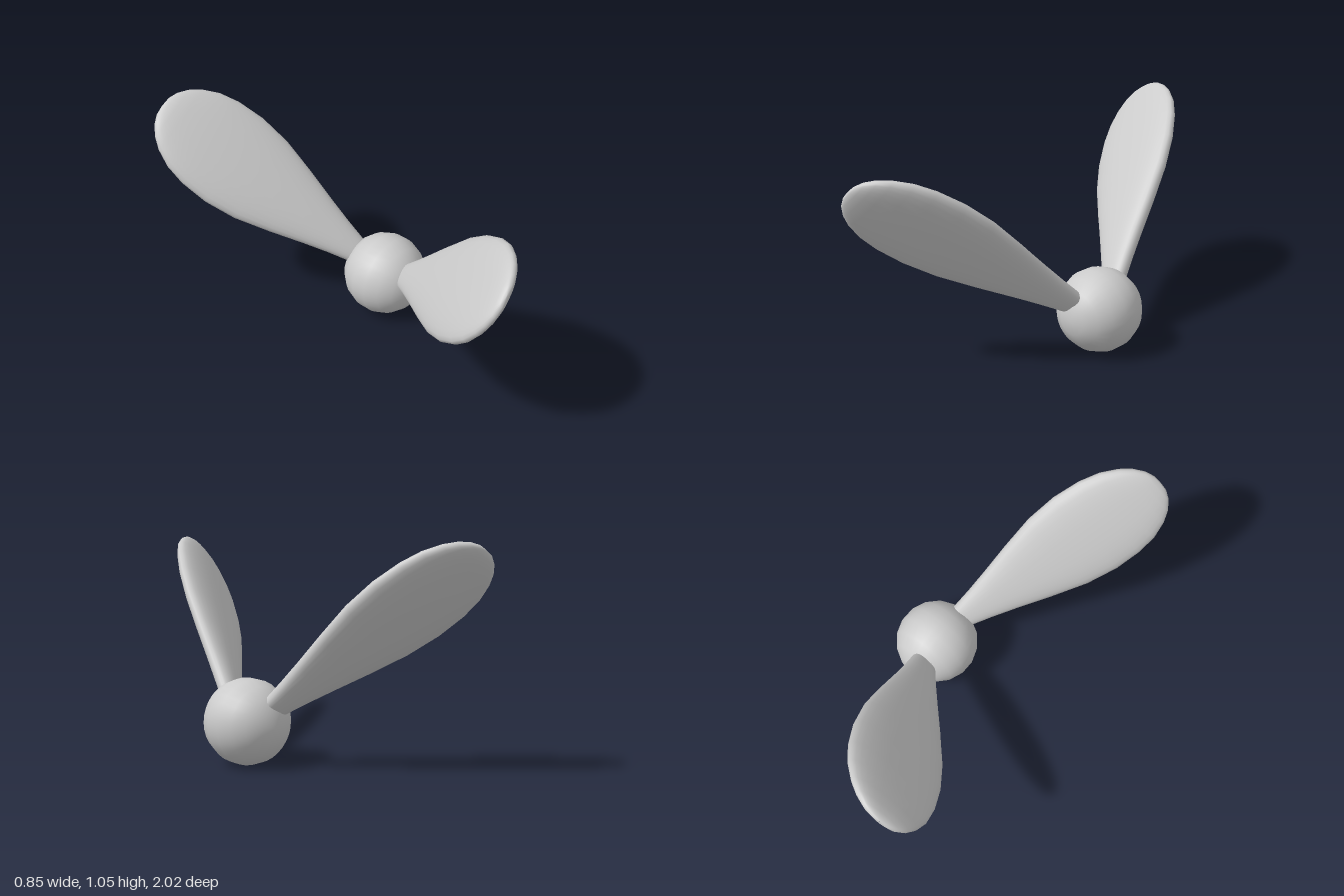
import * as THREE from 'three';

// Blade stations: distance along the blade, half width, half thickness
const STATIONS = [
  [-0.06, 0.05, 0.032], [0, 0.065, 0.04], [0.12, 0.095, 0.045], [0.25, 0.132, 0.05],
  [0.42, 0.184, 0.055], [0.6, 0.233, 0.058], [0.76, 0.252, 0.057], [0.9, 0.245, 0.053],
  [1.0, 0.222, 0.047], [1.08, 0.182, 0.04], [1.13, 0.141, 0.033], [1.165, 0.095, 0.024],
  [1.183, 0.05, 0.013], [1.187, 0.0005, 0.0005],
];
const SIDES = 28;

// Paddle lofted from rounded cross-sections, growing along +y and flat in z
function bladeGeometry() {
  const positions = [], indices = [];
  const soften = (v) => Math.sign(v) * Math.abs(v) ** 0.85;
  STATIONS.forEach(([s, w, h], i) => {
    for (let j = 0; j < SIDES; j++) {
      const a = (j / SIDES) * Math.PI * 2;
      positions.push(w * soften(Math.cos(a)), s, h * soften(Math.sin(a)));
      if (i === 0) continue;
      const k = (j + 1) % SIDES, lo = (i - 1) * SIDES, hi = i * SIDES;
      indices.push(lo + j, hi + j, lo + k, lo + k, hi + j, hi + k);
    }
  });
  // Root cap, hidden in the hub
  for (let j = 1; j < SIDES - 1; j++) indices.push(0, j, j + 1);
  const geometry = new THREE.BufferGeometry();
  geometry.setAttribute('position', new THREE.Float32BufferAttribute(positions, 3));
  geometry.setIndex(indices);
  geometry.computeVertexNormals();
  return geometry;
}

export function createModel() {
  const group = new THREE.Group();
  const material = new THREE.MeshStandardMaterial({ color: 0xcccccc });

  // Round hub
  const hubGeometry = new THREE.SphereGeometry(0.202, 32, 9).rotateX(Math.PI / 2);
  const hub = new THREE.Mesh(hubGeometry, material);
  hub.name = 'hub';
  hub.position.set(0.222, 0.204, -0.056);
  group.add(hub);

  // Two blades, each placed by its root, its long direction and its width direction
  const geometry = bladeGeometry();
  const addBlade = (name, root, along, across) => {
    const y = new THREE.Vector3(...along).normalize();
    const x = new THREE.Vector3(...across);
    x.addScaledVector(y, -x.dot(y)).normalize();
    const z = new THREE.Vector3().crossVectors(x, y);
    const blade = new THREE.Mesh(geometry, material);
    blade.name = name;
    blade.quaternion.setFromRotationMatrix(new THREE.Matrix4().makeBasis(x, y, z));
    blade.position.set(...root);
    group.add(blade);
  };
  addBlade('frontBlade', [0.193, 0.28, 0.104], [-0.375, 0.54, 0.75], [0.745, 0.659, -0.097]);
  addBlade('backBlade', [0.178, 0.29, -0.205], [-0.412, 0.612, -0.674], [0.876, 0.479, -0.044]);

  return group;
}
